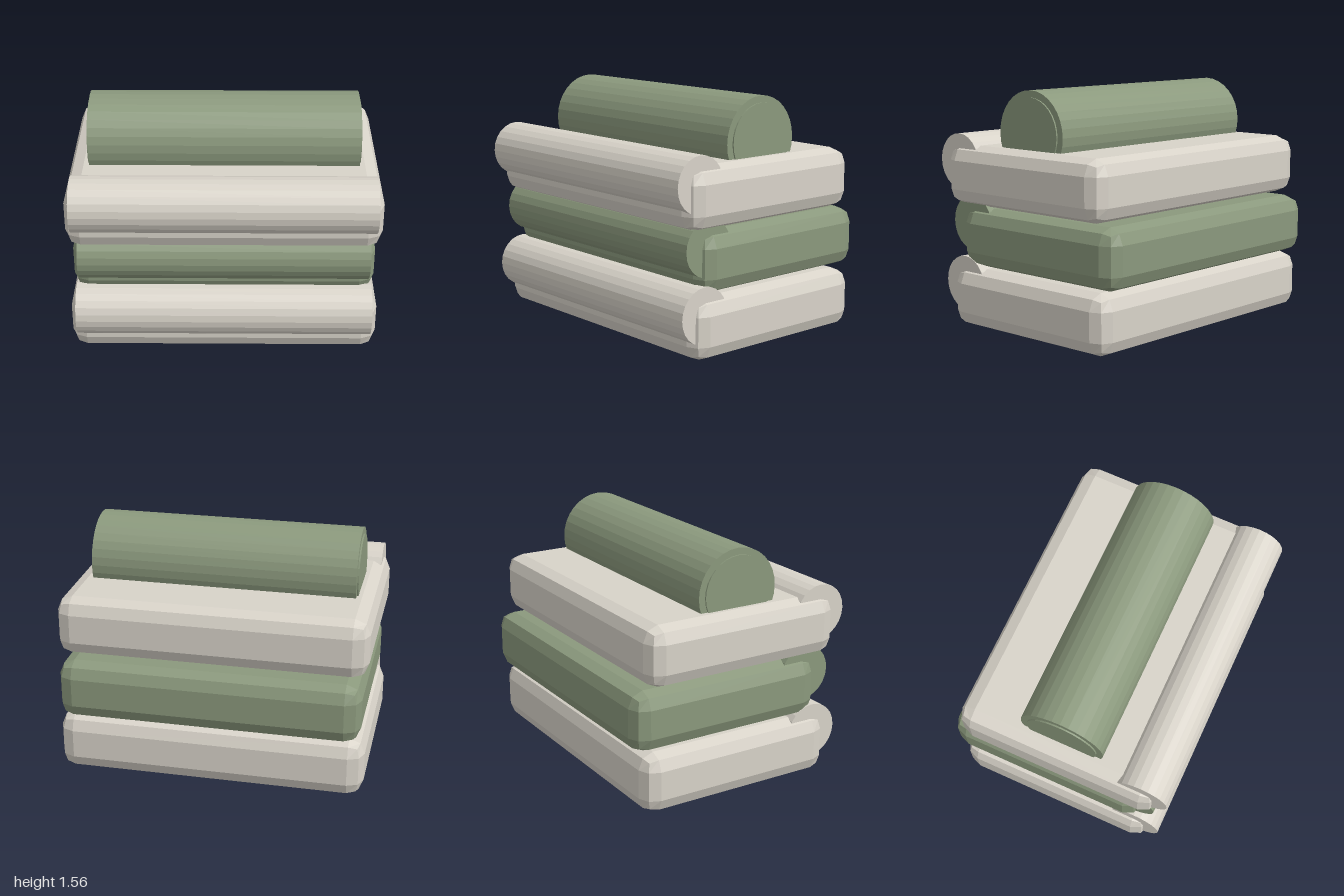
import * as THREE from 'three';
import { RoundedBoxGeometry } from 'three/addons/geometries/RoundedBoxGeometry.js';

const cream = new THREE.MeshStandardMaterial({ color: 0xd8d3c9, flatShading: true });
cream.name = 'cream';
const sage = new THREE.MeshStandardMaterial({ color: 0x8b997d, flatShading: true });
sage.name = 'sage';

// Cylinder lying along x
function roll(name, radius, length, sides, material, y, z) {
  const geometry = new THREE.CylinderGeometry(radius, radius, length, sides);
  geometry.rotateZ(Math.PI / 2);
  const mesh = new THREE.Mesh(geometry, material);
  mesh.name = name;
  mesh.position.set(0, y, z);
  return mesh;
}

// Folded towel: bevelled slab with a rounded fold along its front edge
function towel({ name, material, width, depth, y, z, foldY, foldZ }) {
  const group = new THREE.Group();
  group.name = name;
  const slab = new THREE.Mesh(new RoundedBoxGeometry(width, 0.388, depth, 1, 0.1), material);
  slab.name = 'slab';
  slab.position.set(0, y, z);
  group.add(slab, roll('frontFold', 0.179, width - 0.09, 24, material, foldY, foldZ));
  return group;
}

export function createModel() {
  const model = new THREE.Group();
  model.name = 'towelStack';

  // Three folded towels, slightly shifted against each other
  const towels = [
    { name: 'bottomTowel', material: cream, width: 2, depth: 1.358, y: 0.194, z: -0.031, foldY: 0.286, foldZ: 0.554 },
    { name: 'middleTowel', material: sage, width: 1.95, depth: 1.341, y: 0.595, z: -0.095, foldY: 0.687, foldZ: 0.5 },
    { name: 'topTowel', material: cream, width: 2, depth: 1.365, y: 0.997, z: 0.008, foldY: 1.086, foldZ: 0.59 },
  ];
  towels.forEach((t) => model.add(towel(t)));

  // Rolled towel on top, with a slightly raised disc at each end
  model.add(roll('rolledTowel', 0.28, 1.73, 32, sage, 1.284, 0.016));
  for (const side of [-1, 1]) {
    const disc = roll(side > 0 ? 'leftEndDisc' : 'rightEndDisc', 0.236, 0.02, 32, sage, 1.284, 0.016);
    disc.position.x = side * 0.865;
    model.add(disc);
  }
  return model;
}
